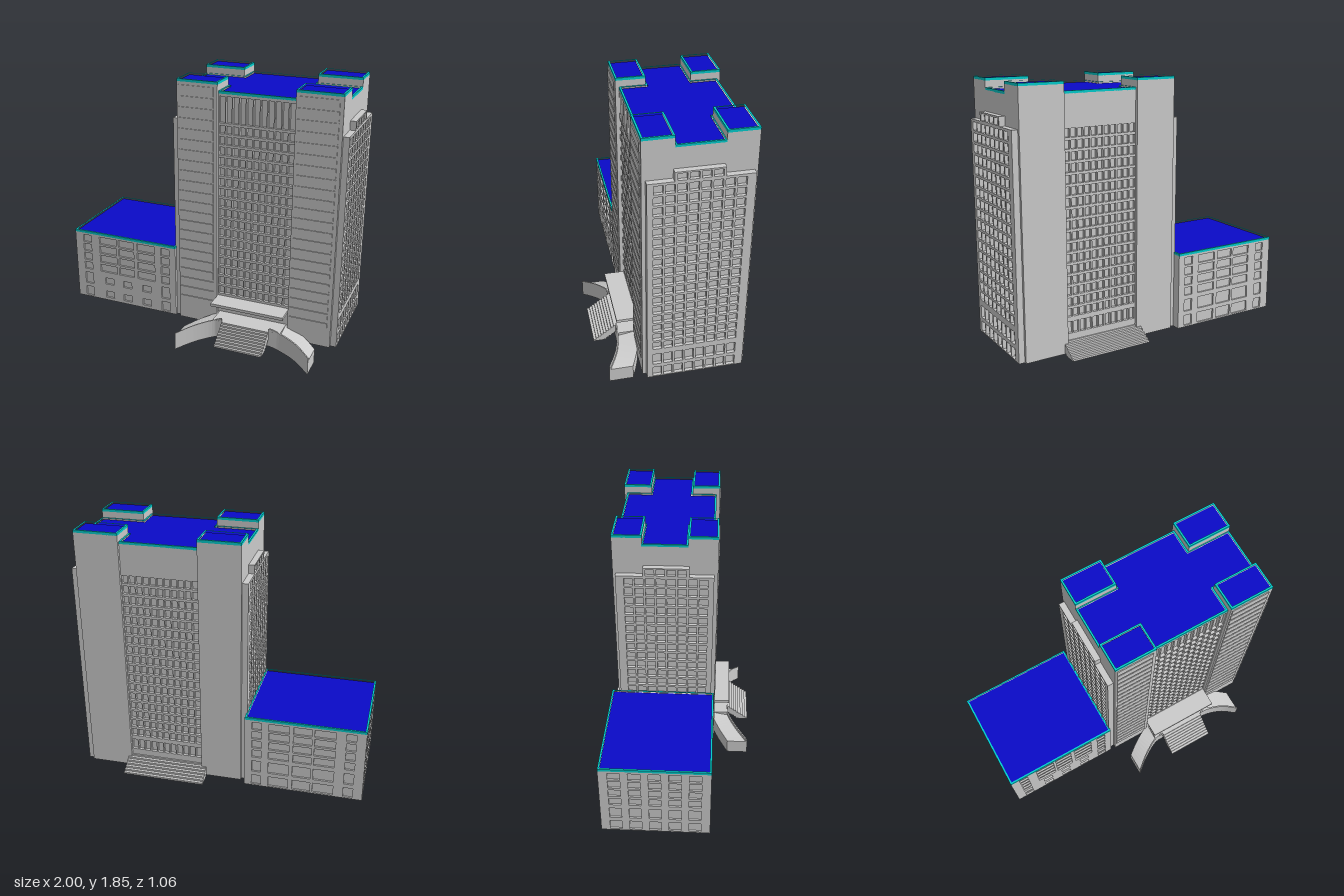
import * as THREE from 'three';

const grey = new THREE.MeshStandardMaterial({ color: 0xcccccc, flatShading: true });
const greyDouble = new THREE.MeshStandardMaterial({ color: 0xcccccc, flatShading: true, side: THREE.DoubleSide });
const teal = new THREE.MeshStandardMaterial({ color: 0x00cccc });
const blue = new THREE.MeshStandardMaterial({ color: 0x0a0ac8 });

const BASE = 0.12, MID = 0.4025; // ground floor level, tower centre in x

export function createModel() {
  const root = new THREE.Group();

  const add = (name, geo, mat = grey, parent = root) => {
    const m = new THREE.Mesh(geo, mat);
    m.name = name;
    parent.add(m);
    return m;
  };
  // box given by its limits
  const box = (name, x0, x1, y0, y1, z0, z1, mat, parent) => {
    const m = add(name, new THREE.BoxGeometry(x1 - x0, y1 - y0, z1 - z0), mat, parent);
    m.position.set((x0 + x1) / 2, (y0 + y1) / 2, (z0 + z1) / 2);
    return m;
  };
  const group = (name) => {
    const g = new THREE.Group();
    g.name = name;
    root.add(g);
    return g;
  };
  const toVec = (pts) => pts.map(([x, y]) => new THREE.Vector2(x, y));
  const rect = (x0, x1, y0, y1) => [[x0, y0], [x1, y0], [x1, y1], [x0, y1]];
  const hole = (x, y, w, h) => rect(x - w / 2, x + w / 2, y - h / 2, y + h / 2);

  // wall panel with window openings, extruded outward
  const facade = (name, outline, holes, depth, rotY, x, z) => {
    const s = new THREE.Shape(toVec(outline));
    s.holes = holes.map((h) => new THREE.Path(toVec(h)));
    const m = add(name, new THREE.ExtrudeGeometry(s, { depth, bevelEnabled: false }));
    m.rotation.y = rotY;
    m.position.set(x, 0, z);
  };

  // teal rim with a blue roof set just below its top; plan(d) is the outline inset by d
  const roof = (name, plan, top) => {
    const g = group(name);
    const shape = (d) => new THREE.Shape(toVec(plan(d).map(([x, z]) => [x, -z])));
    const rim = shape(0);
    rim.holes = [new THREE.Path(shape(0.013).getPoints())];
    const rimMesh = add('roofRim', new THREE.ExtrudeGeometry(rim, { depth: 0.018, bevelEnabled: false }), teal, g);
    rimMesh.rotation.x = -Math.PI / 2;
    rimMesh.position.y = top - 0.018;
    const deck = add('roofDeck', new THREE.ShapeGeometry(shape(0.012)), blue, g);
    deck.rotation.x = -Math.PI / 2;
    deck.position.y = top - 0.01;
  };
  const rectPlan = (x0, x1, z0, z1) => (d) => rect(x0 + d, x1 - d, z0 + d, z1 - d);

  // tower core and corner piers
  box('towerCore', 0.13, 0.66, BASE, 1.785, -0.38, 0.22);
  box('towerCrossCore', -0.15, 0.955, BASE, 1.785, -0.24, 0.08);
  const crossPlan = (d) => {
    const [x0, xa, xb, x1] = [-0.15 + d, 0.135 + d, 0.655 - d, 0.955 - d];
    const [z0, za, zb, z1] = [-0.4 + d, -0.23 + d, 0.07 - d, 0.24 - d];
    return [[x0, za], [xa, za], [xa, z0], [xb, z0], [xb, za], [x1, za],
      [x1, zb], [xb, zb], [xb, z1], [xa, z1], [xa, zb], [x0, zb]];
  };
  roof('towerRoof', crossPlan, 1.8);
  for (const [x0, x1] of [[-0.15, 0.135], [0.655, 0.955]]) {
    for (const [z0, z1] of [[-0.42, -0.225], [0.07, 0.264]]) {
      box('cornerPier', x0, x1, BASE, 1.843, z0, z1);
      roof('pierRoof', rectPlan(x0, x1, z0, z1), 1.86);
    }
    // shallow cladding bands on the front piers
    for (let i = 0; i < 22; i++) {
      const y = 0.24 + i * 0.0725;
      box('claddingBand', x0 + 0.012, x1 - 0.025, y, y + 0.06, 0.26, 0.27);
    }
  }

  // front and back window walls
  const rows = Array.from({ length: 17 }, (_, i) => 0.385 + i * 0.0725);
  const frontHoles = [], backHoles = [];
  for (let c = 0; c < 11; c++) {
    const x = (c - 5) * 0.0472;
    for (const y of rows) {
      frontHoles.push(hole(x, y, 0.038, 0.055));
      backHoles.push(hole(x, y, 0.038, 0.055));
    }
    frontHoles.push(hole(x, 1.678, 0.038, 0.175));
    backHoles.push(hole(x, 0.285, 0.038, 0.08));
  }
  const centreWall = rect(-0.26, 0.26, BASE, 1.784);
  facade('frontWindowWall', centreWall, frontHoles, 0.02, 0, 0.395, 0.22);
  facade('backWindowWall', centreWall, backHoles, 0.02, Math.PI, 0.395, -0.38);

  // stepped side window walls; s is the side, u runs along the wall
  for (const s of [1, -1]) {
    const holes = [];
    for (let c = 0; c < 8; c++) {
      const u = s * (-0.174 + c * 0.0702);
      for (const y of rows) holes.push(hole(u, y, 0.057, 0.056));
      holes.push(hole(u, 0.272, 0.057, 0.085), hole(u, 0.165, 0.057, 0.075));
      if (c > 1 && c < 6) holes.push(hole(u, 1.617, 0.057, 0.045));
    }
    const outline = [[-0.24, BASE], [0.4, BASE], [0.4, 1.59], [0.22, 1.59], [0.22, 1.65],
      [-0.08, 1.65], [-0.08, 1.59], [-0.24, 1.59]].map(([u, y]) => [s * u, y]);
    const back = MID + s * 0.57;
    facade('sideWindowWall', outline, holes, 0.0225, s * Math.PI / 2, back, 0);
    const [xa, xb] = s > 0 ? [0.95, back] : [back, -0.145];
    box('sideWallBacking', xa, xb, BASE, 1.59, -0.4, 0.24);
    box('sideWallBackingTop', xa, xb, 1.58, 1.65, -0.22, 0.08);
  }

  // low wing
  box('wingCore', -0.988, -0.185, BASE, 0.645, -0.448, 0.248);
  roof('wingRoof', rectPlan(-1, -0.185, -0.46, 0.26), 0.66);
  const upper = [0.6, 0.528, 0.455, 0.38];
  const columns = [[-0.31, 0.065], [-0.138, 0.14], [0.012, 0.125], [0.172, 0.14], [0.325, 0.065]];
  const wingFront = [], wingBack = [], wingSide = [];
  columns.forEach(([u, w], i) => {
    const end = i === 0 || i === 4;
    for (const y of upper) {
      wingFront.push(hole(u, y, w, 0.056));
      wingBack.push(hole(-u, y, w, 0.056));
    }
    wingFront.push(hole(u, 0.278, end ? w : 0.07, end ? 0.09 : 0.05));
    wingFront.push(hole(u, 0.168, end ? w : 0.07, end ? 0.075 : 0.05));
    wingBack.push(hole(-u, 0.278, w, 0.085), hole(-u, 0.168, w, 0.075));
    const v = -0.1 + (i - 2) * 0.13;
    for (const y of upper) wingSide.push(hole(v, y, 0.08, 0.056));
    wingSide.push(hole(v, 0.278, 0.08, 0.085), hole(v, 0.168, 0.08, 0.075));
  });
  const wingWall = rect(-0.4075, 0.4075, BASE, 0.643);
  facade('wingFrontWall', wingWall, wingFront, 0.012, 0, -0.5925, 0.248);
  facade('wingBackWall', wingWall, wingBack, 0.012, Math.PI, -0.5925, -0.448);
  facade('wingSideWall', rect(-0.46, 0.26, BASE, 0.643), wingSide, 0.012, -Math.PI / 2, -0.988, 0);

  // entrance canopy, porch and stairs
  box('canopy', 0.135, 0.655, 0.32, 0.34, 0.23, 0.38);
  box('porch', 0.15, 0.64, 0.1, 0.215, 0.23, 0.375);
  const stairs = (name, x0, x1, z, run, top, bottom, n) => {
    const g = group(name);
    for (let i = 0; i < n; i++) {
      const za = z + (run * i) / n, zb = z + (run * (i + 1)) / n;
      const y = top - ((top - bottom) * i) / n;
      box('step', x0, x1, Math.max(bottom, y - 0.06), y, Math.min(za, zb), Math.max(za, zb), grey, g);
    }
  };
  stairs('frontStairs', 0.22, 0.56, 0.37, 0.16, 0.215, 0.1, 9);
  stairs('backStairs', 0.1, 0.68, -0.39, -0.14, 0.2, 0.11, 7);

  // curved ramps with a front parapet, lofted from cross-sections
  const ramp = (name, front, back) => {
    const curve = (p) => new THREE.CatmullRomCurve3(p.map(([x, z]) => new THREE.Vector3(x, 0, z)));
    const fc = curve(front), bc = curve(back), n = 16, pos = [], idx = [];
    for (let i = 0; i <= n; i++) {
      const t = i / n, e = Math.pow(t, 1.4);
      const f = fc.getPoint(t), b = bc.getPoint(t), inner = f.clone().lerp(b, 0.07);
      const lo = 0.1 - 0.09 * e, hi = 0.235 - 0.1 * e, deck = hi - 0.022;
      for (const [p, y] of [[b, lo], [b, deck], [inner, deck], [inner, hi], [f, hi], [f, lo]]) pos.push(p.x, y, p.z);
      if (i === n) continue;
      for (let k = 0; k < 6; k++) {
        const a = i * 6 + k, c = i * 6 + ((k + 1) % 6);
        idx.push(a, c, a + 6, c, c + 6, a + 6);
      }
    }
    for (const o of [0, n * 6]) idx.push(o, o + 1, o + 2, o, o + 2, o + 5, o + 2, o + 3, o + 4, o + 2, o + 4, o + 5);
    let geo = new THREE.BufferGeometry();
    geo.setAttribute('position', new THREE.Float32BufferAttribute(pos, 3));
    geo.setIndex(idx);
    geo = geo.toNonIndexed();
    geo.computeVertexNormals();
    add(name, geo, greyDouble);
  };
  ramp('leftRamp', [[0.56, 0.375], [0.64, 0.377], [0.76, 0.408], [0.867, 0.47]],
    [[0.64, 0.235], [0.7, 0.245], [0.79, 0.272], [0.867, 0.31]]);
  ramp('rightRamp', [[0.22, 0.375], [0.16, 0.377], [0.04, 0.44], [-0.07, 0.525]],
    [[0.15, 0.235], [0.11, 0.262], [0.02, 0.312], [-0.07, 0.375]]);

  return root;
}
